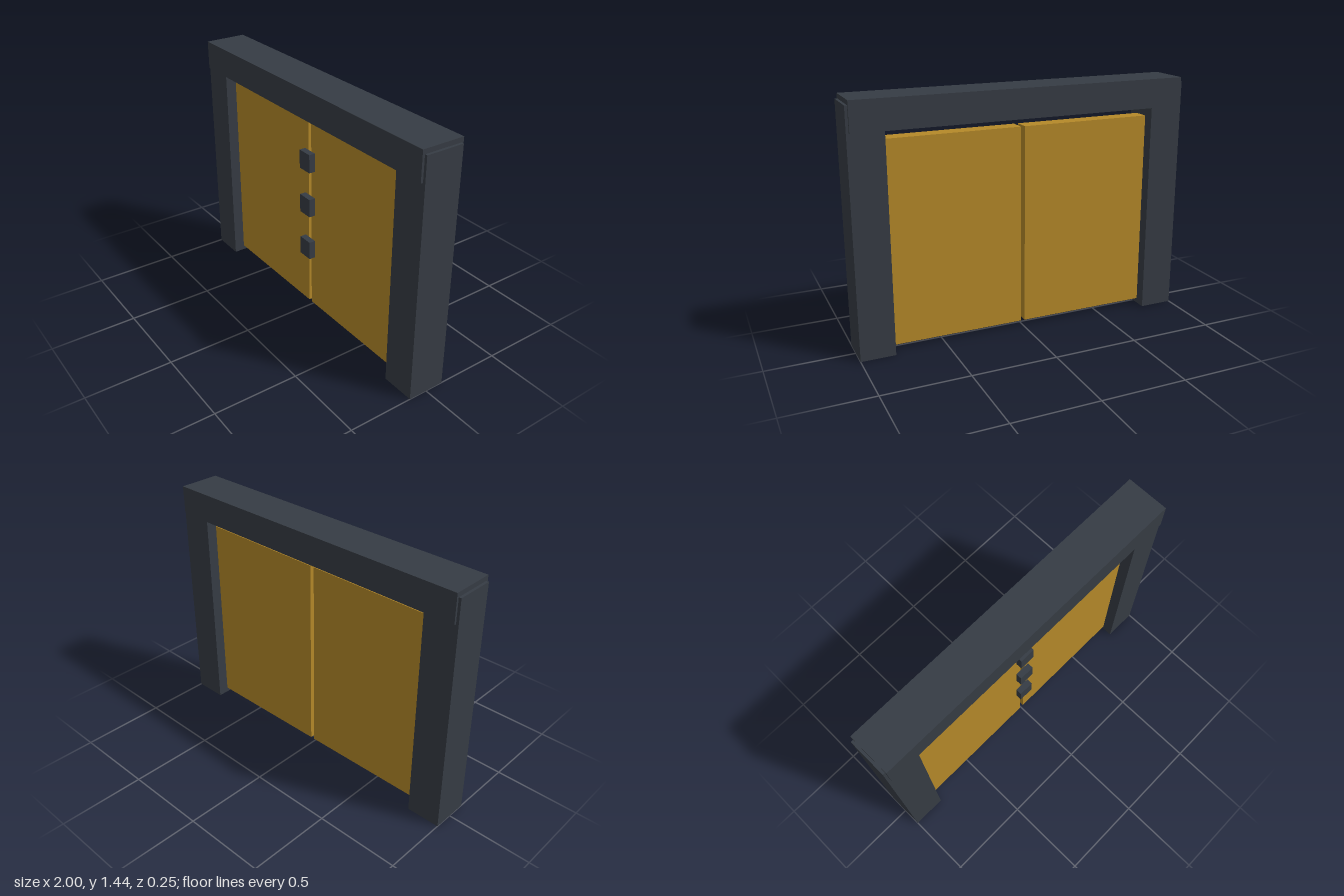
import * as THREE from 'three';

const dark = new THREE.MeshStandardMaterial({ color: 0x363c44 });
const gold = new THREE.MeshStandardMaterial({ color: 0xb58929 });

// Box given by its minimum and maximum corners
function block(name, material, [x0, y0, z0], [x1, y1, z1]) {
  const mesh = new THREE.Mesh(new THREE.BoxGeometry(x1 - x0, y1 - y0, z1 - z0), material);
  mesh.position.set((x0 + x1) / 2, (y0 + y1) / 2, (z0 + z1) / 2);
  mesh.name = name;
  return mesh;
}

export function createModel() {
  const gate = new THREE.Group();
  gate.name = 'gate';

  // Posts and door leaves, mirrored about x = 0
  for (const [side, s] of [['left', 1], ['right', -1]]) {
    const post = block(side + 'Post', dark, [0.8, 0, -0.1125], [1, 1.41, 0.1125]);
    const door = block(side + 'Door', gold, [0.0125, 0.03, -0.047], [0.8, 1.21, 0.047]);
    for (const part of [post, door]) {
      part.position.x *= s;
      gate.add(part);
    }
  }

  // Lintel, slightly deeper than the posts
  gate.add(block('lintel', dark, [-0.985, 1.267, -0.126], [0.985, 1.437, 0.126]));

  // Latch plates bridging the gap on the front
  [0.423, 0.706, 0.987].forEach((y, i) => {
    gate.add(block('latch' + (i + 1), dark, [-0.047, y - 0.056, 0.047], [0.047, y + 0.056, 0.085]));
  });

  return gate;
}
